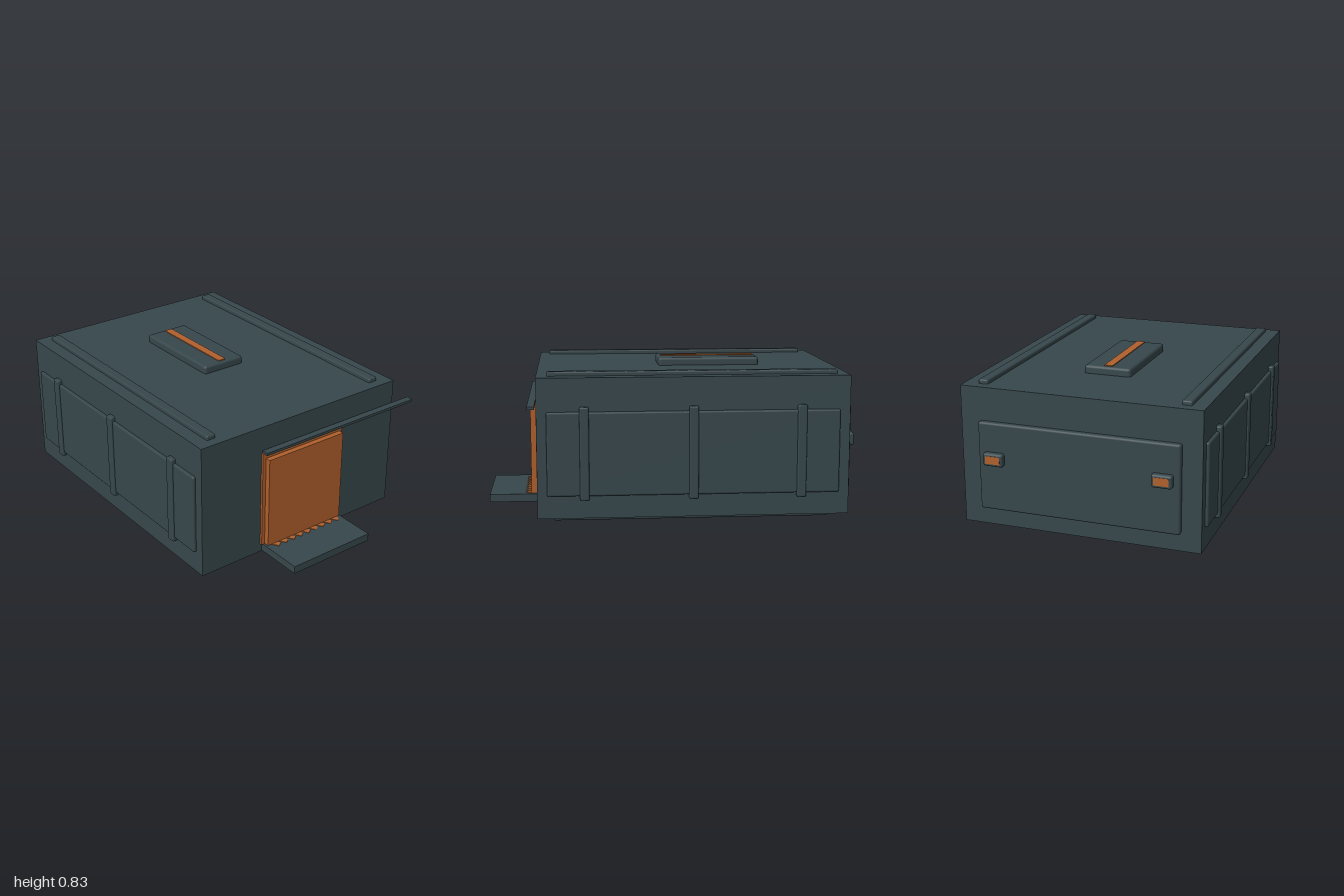
import * as THREE from 'three';
import { RoundedBoxGeometry } from 'three/addons/geometries/RoundedBoxGeometry.js';

const steel = new THREE.MeshStandardMaterial({ color: 0x37474c });
steel.name = 'slate steel';
const orange = new THREE.MeshStandardMaterial({ color: 0xb0602d });
orange.name = 'safety orange';

export function createModel() {
  const model = new THREE.Group();
  model.name = 'container';

  // Box given by its extents; a bevel radius softens the edges
  function block(name, material, [x0, x1], [y0, y1], [z0, z1], bevel = 0) {
    const size = [x1 - x0, y1 - y0, z1 - z0];
    const geometry = bevel
      ? new RoundedBoxGeometry(...size, 2, bevel)
      : new THREE.BoxGeometry(...size);
    const mesh = new THREE.Mesh(geometry, material);
    mesh.name = name;
    mesh.position.set((x0 + x1) / 2, (y0 + y1) / 2, (z0 + z1) / 2);
    model.add(mesh);
    return mesh;
  }

  const midX = -0.045;
  block('body', steel, [-0.695, 0.605], [0.035, 0.785], [-0.94, 0.725]);

  for (const side of [-1, 1]) {
    const label = side > 0 ? 'left' : 'right';
    const span = (a, b) => [midX + side * a, midX + side * b].sort((p, q) => p - q);

    // Roof rails and ground skids
    block(label + 'RoofRail', steel, span(0.52, 0.575), [0.775, 0.808], [-0.885, 0.67], 0.009);
    block(label + 'Skid', steel, span(0.455, 0.555), [0, 0.045], [-0.85, 0.64], 0.01);

    // Side panel with three ribs
    block(label + 'SidePanel', steel, span(0.63, 0.667), [0.157, 0.605], [-0.885, 0.673], 0.01);
    for (const z of [0.475, -0.103, -0.68]) {
      block(label + 'Rib', steel, span(0.63, 0.678), [0.135, 0.632], [z - 0.025, z + 0.025], 0.009);
    }

    // Rear latches with coloured face plates
    block(label + 'Latch', steel, span(0.4, 0.51), [0.38, 0.45], [-1, -0.95], 0.012);
    block(label + 'LatchPlate', orange, span(0.415, 0.495), [0.394, 0.436], [-1.001, -0.996]);
  }

  // Rear panel
  block('rearPanel', steel, [-0.59, 0.5], [0.13, 0.607], [-0.97, -0.93], 0.012);

  // Roof hatch and its light strip
  block('roofHatch', steel, [-0.175, 0.085], [0.775, 0.829], [-0.525, 0.045], 0.015);
  block('hatchStrip', orange, [-0.068, -0.022], [0.826, 0.834], [-0.505, 0.025]);

  // Sliding door, its frame and the overhead track
  block('doorFrame', orange, [-0.315, 0.225], [0.083, 0.636], [0.72, 0.738]);
  block('door', orange, [-0.295, 0.208], [0.086, 0.605], [0.735, 0.768]);
  block('doorTrack', steel, [-0.312, 0.72], [0.638, 0.653], [0.73, 0.768]);

  // Threshold ramp with slanted warning stripes
  block('ramp', steel, [-0.305, 0.215], [0.04, 0.083], [0.72, 1]);
  for (let i = 0; i < 9; i++) {
    const x = -0.25 + i * 0.052;
    const stripe = block('warningStripe', orange, [x - 0.0165, x + 0.0165], [0.081, 0.086], [0.738, 0.798]);
    stripe.rotation.y = 0.6;
  }

  return model;
}
